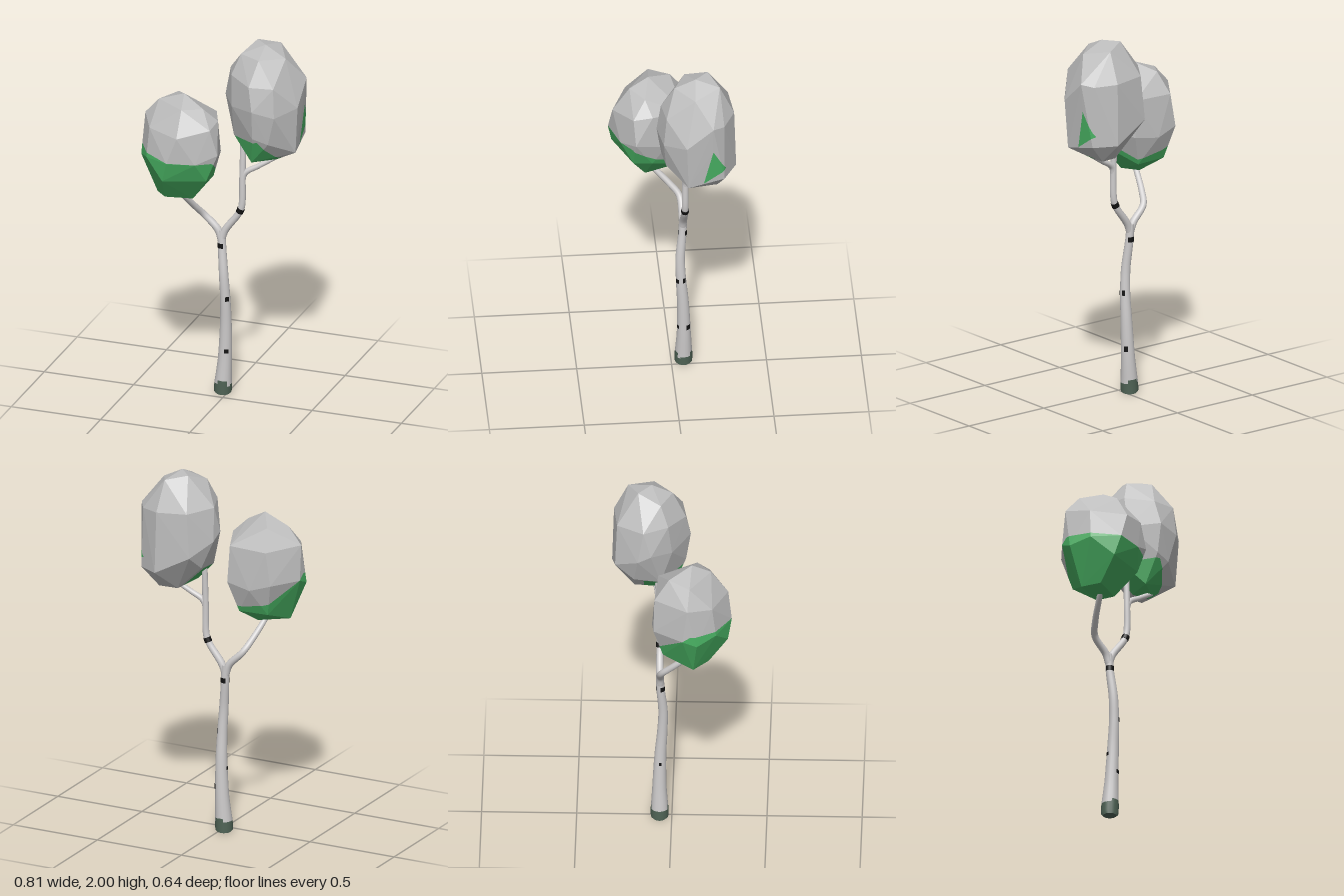
import * as THREE from 'three';
import { ConvexGeometry } from 'three/addons/geometries/ConvexGeometry.js';

const V = (a) => new THREE.Vector3(...a);

function material(name, color) {
  const m = new THREE.MeshStandardMaterial({ color });
  m.name = name;
  return m;
}

// Tapered limb through points [x, y, z, radius].
function limb(points, segments) {
  const curve = new THREE.CatmullRomCurve3(points.map((p) => V(p.slice(0, 3))), false, 'centripetal');
  const radiusAt = (t) => {
    const f = t * (points.length - 1), i = Math.min(Math.floor(f), points.length - 2);
    return THREE.MathUtils.lerp(points[i][3], points[i + 1][3], f - i);
  };
  const sides = 16, geometry = new THREE.TubeGeometry(curve, segments, 1, sides, false);
  const pos = geometry.attributes.position, v = new THREE.Vector3();
  for (let i = 0; i <= segments; i++) {
    const c = curve.getPointAt(i / segments), r = radiusAt(curve.getUtoTmapping(i / segments));
    for (let j = 0; j <= sides; j++) {
      const k = i * (sides + 1) + j;
      v.fromBufferAttribute(pos, k).sub(c).multiplyScalar(r).add(c);
      pos.setXYZ(k, v.x, v.y, v.z);
    }
  }
  geometry.computeBoundingSphere();
  return { geometry, curve, radiusAt };
}

// Splits a convex polygon by the plane n.p <= d.
function split(poly, n, d) {
  const inside = [], outside = [];
  poly.forEach((a, i) => {
    const b = poly[(i + 1) % poly.length], da = a.dot(n) - d, db = b.dot(n) - d;
    (da <= 0 ? inside : outside).push(a);
    if (da * db < 0) {
      const c = a.clone().lerp(b, da / (da - db));
      inside.push(c);
      outside.push(c);
    }
  });
  return [inside, outside];
}

function polygonsToGeometry(polys) {
  const pts = [];
  for (const p of polys) for (let i = 1; i < p.length - 1; i++) pts.push(p[0], p[i], p[i + 1]);
  const g = new THREE.BufferGeometry().setFromPoints(pts);
  g.computeVertexNormals();
  return g;
}

// Faceted crown; each region is a list of planes [nx, ny, nz, d] that bounds a green area.
function crown(name, points, regions, grey, green) {
  const pos = new ConvexGeometry(points.map(V)).attributes.position;
  let rest = [];
  const painted = [];
  for (let i = 0; i < pos.count; i += 3)
    rest.push([0, 1, 2].map((k) => new THREE.Vector3().fromBufferAttribute(pos, i + k)));
  for (const planes of regions) {
    const next = [];
    for (let poly of rest) {
      for (const [x, y, z, d] of planes) {
        const [inside, outside] = split(poly, V([x, y, z]), d);
        if (outside.length > 2) next.push(outside);
        poly = inside;
        if (poly.length < 3) break;
      }
      if (poly.length > 2) painted.push(poly);
    }
    rest = next;
  }
  const group = new THREE.Group();
  group.name = name;
  [[rest, grey, 'greyFoliage'], [painted, green, 'greenFoliage']].forEach(([polys, mat, part]) => {
    const mesh = new THREE.Mesh(polygonsToGeometry(polys), mat);
    mesh.name = part;
    group.add(mesh);
  });
  return group;
}

export function createModel() {
  const model = new THREE.Group();
  model.name = 'tree';
  const bark = material('paleBark', 0xcfcdcd);
  const moss = material('moss', 0x4f6355);
  const black = material('barkMark', 0x121212);
  const grey = material('greyLeaves', 0xbdbdbd);
  const green = material('greenLeaves', 0x48b062);
  const add = (name, geometry, mat) => {
    const mesh = new THREE.Mesh(geometry, mat);
    mesh.name = name;
    model.add(mesh);
    return mesh;
  };

  // Trunk, with a mossy foot of uneven height
  const trunk = limb([
    [-0.023, 0, -0.064, 0.036], [-0.023, 0.012, -0.064, 0.047], [-0.021, 0.06, -0.064, 0.047],
    [-0.012, 0.2, -0.065, 0.037], [-0.005, 0.4, -0.06, 0.031], [-0.005, 0.55, -0.05, 0.027],
    [-0.012, 0.68, -0.046, 0.025], [-0.026, 0.84, -0.059, 0.022], [-0.03, 0.93, -0.063, 0.021],
  ], 90);
  const g = trunk.geometry, index = g.index.array, p = g.attributes.position;
  const sets = [[], []];
  for (let i = 0; i < index.length; i += 6) {
    const quad = Array.from(index.slice(i, i + 6));
    const y = quad.reduce((s, k) => s + p.getY(k), 0) / 6;
    const x = quad.reduce((s, k) => s + p.getX(k), 0) / 6;
    const limit = x > 0.005 ? 0.055 : x > -0.04 ? 0.08 : 0.065;
    sets[y < limit ? 1 : 0].push(...quad);
  }
  g.setIndex([...sets[0], ...sets[1]]);
  g.addGroup(0, sets[0].length, 0);
  g.addGroup(sets[0].length, sets[1].length, 1);
  add('trunk', g, [bark, moss]);
  const foot = add('trunkFoot', new THREE.CircleGeometry(0.036, 16), moss);
  foot.rotation.x = Math.PI / 2;
  foot.position.set(-0.023, 0.001, -0.064);

  // Branches with rounded tips
  const branches = {
    rightBranch: [[-0.03, 0.87, -0.06, 0.019], [-0.05, 0.93, -0.06, 0.02], [-0.125, 1.01, -0.05, 0.018],
      [-0.155, 1.07, 0.0, 0.017], [-0.19, 1.18, 0.1, 0.015], [-0.2, 1.24, 0.13, 0.014]],
    leftBranch: [[-0.03, 0.87, -0.06, 0.019], [-0.01, 0.93, -0.063, 0.02], [0.065, 1.035, -0.065, 0.018],
      [0.082, 1.08, -0.065, 0.018], [0.086, 1.25, -0.066, 0.017], [0.086, 1.52, -0.08, 0.015]],
    sideBranch: [[0.086, 1.22, -0.065, 0.014], [0.1, 1.27, -0.068, 0.016],
      [0.17, 1.315, -0.08, 0.014], [0.26, 1.37, -0.1, 0.012]],
  };
  for (const [name, points] of Object.entries(branches)) {
    add(name, limb(points, 36).geometry, bark);
    const [x, y, z, r] = points[points.length - 1];
    add(name + 'Tip', new THREE.SphereGeometry(r, 12, 8), bark).position.set(x, y, z);
  }

  // Dark bark marks: [height, size, start angle, sweep] in degrees from the front
  const marks = [[0.845, 0.028, -90, 120], [0.845, 0.028, 120, 95], [0.55, 0.026, 20, 45],
    [0.555, 0.03, 105, 35], [0.25, 0.022, 10, 35], [0.25, 0.03, 110, 35], [0.35, 0.02, -100, 25]];
  for (const [y, size, start, sweep] of marks) {
    let t = 0;
    while (t < 1 && trunk.curve.getPoint(t).y < y) t += 0.002;
    const r = trunk.radiusAt(t) + 0.002;
    const rad = THREE.MathUtils.degToRad;
    add('barkMark', new THREE.CylinderGeometry(r, r, size, 10, 1, true, rad(start), rad(sweep)), black)
      .position.copy(trunk.curve.getPoint(t));
  }
  const ring = add('branchRing', new THREE.CylinderGeometry(0.0205, 0.0205, 0.026, 16), black);
  ring.position.set(0.074, 1.054, -0.065);
  ring.rotation.z = -0.4;

  // Lower crown, green below and towards the front
  model.add(crown('lowerCrown', [
    [-0.175, 1.755, 0.11], [-0.32, 1.7, 0.1], [-0.155, 1.7, 0.21], [-0.06, 1.69, 0.135], [-0.25, 1.71, -0.01],
    [-0.4, 1.61, 0.09], [-0.33, 1.58, 0.22], [-0.15, 1.57, 0.3], [0.0, 1.6, 0.2], [0.01, 1.62, 0.1],
    [-0.06, 1.6, -0.07], [-0.28, 1.6, -0.085], [-0.405, 1.39, 0.14], [-0.34, 1.42, 0.24], [-0.2, 1.43, 0.32],
    [-0.06, 1.42, 0.265], [0.04, 1.46, 0.19], [0, 1.42, 0.03], [-0.05, 1.4, -0.08], [-0.19, 1.38, -0.1],
    [-0.31, 1.42, -0.09], [-0.405, 1.42, 0.065], [-0.23, 1.32, 0.3], [-0.32, 1.18, 0.12], [-0.25, 1.19, 0.2],
    [-0.12, 1.17, 0.13], [-0.17, 1.17, 0.04], [-0.015, 1.305, 0.1], [-0.02, 1.31, 0.2], [-0.1, 1.235, -0.04],
    [-0.27, 1.24, -0.04],
  ], [[[0.08, 1, 0, 1.416], [0.25, 1, -0.7, 1.275]]], grey, green));

  // Upper crown, with a green patch low on the front and another on its left side
  model.add(crown('upperCrown', [
    [0.2, 2, -0.11], [0.13, 1.995, -0.18], [0.24, 1.97, -0.235], [0.08, 1.95, -0.06], [0.2, 1.95, 0],
    [0.315, 1.94, -0.1], [0.4, 1.81, -0.19], [0.3, 1.82, 0.05], [0.17, 1.82, 0.07], [0.04, 1.84, -0.02],
    [-0.01, 1.83, -0.15], [0.08, 1.82, -0.29], [0.25, 1.81, -0.31], [0.36, 1.8, -0.25], [0.4, 1.69, -0.05],
    [0.31, 1.66, 0.065], [0.195, 1.69, 0.095], [0.05, 1.67, 0], [-0.025, 1.69, -0.11], [-0.02, 1.65, -0.18],
    [0.06, 1.58, -0.3], [0.39, 1.66, -0.19], [0.255, 1.475, -0.32], [0.37, 1.47, -0.25], [0.385, 1.43, -0.06],
    [0.27, 1.5, 0.05], [0.19, 1.53, 0.07], [0.04, 1.485, -0.06], [0.04, 1.5, -0.2], [0.265, 1.36, -0.1],
    [0.16, 1.365, 0], [0.18, 1.365, -0.2], [0.28, 1.37, -0.22],
  ], [
    [[-0.15, 1, 0, 1.474], [1.5, 1, 0, 1.825], [0, 0, -1, 0.15]],
    [[-1, 0, 0, -0.3], [0, 1, 4.2, 0.862], [0, 1, -1.86, 2.013], [0, -1, -0.67, -1.356]],
  ], grey, green));

  return model;
}
